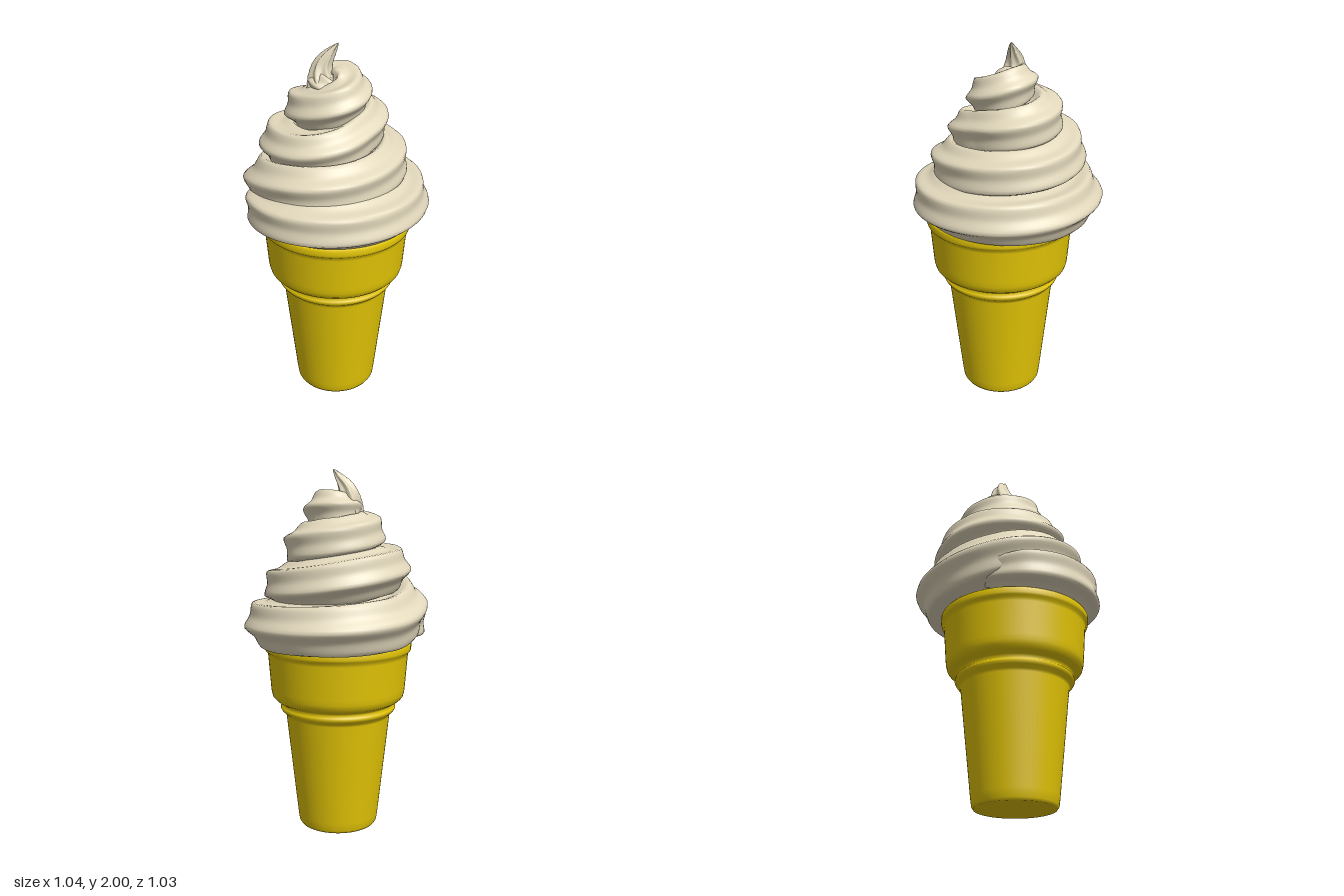
import * as THREE from 'three';

const CREAM = new THREE.MeshStandardMaterial({ color: 0xe2d8bc, side: THREE.DoubleSide });
const WAFER = new THREE.MeshStandardMaterial({ color: 0xe4c605 });
const LOBES = 6, SIDES = 60, FLOOR = 1.055;

// Swirl keys, one per quarter turn: [outer radius, centre height, rope radius]
const KEYS = [
  [0.45, 1.16, 0.12], [0.52, 1.175, 0.13], [0.51, 1.175, 0.13], [0.52, 1.185, 0.135],
  [0.51, 1.205, 0.15], [0.45, 1.325, 0.13], [0.385, 1.36, 0.125], [0.425, 1.395, 0.125],
  [0.415, 1.465, 0.125], [0.36, 1.495, 0.115], [0.26, 1.555, 0.115], [0.315, 1.605, 0.12],
  [0.285, 1.65, 0.115], [0.22, 1.69, 0.11], [0.20, 1.74, 0.11], [0.175, 1.79, 0.105],
  [0.155, 1.79, 0.08], [0.08, 1.76, 0.055], [0.04, 1.72, 0.02],
];

// Skins a star section along frames { centre, out, up, size, twist, depth }
function starSweep(steps, frameAt) {
  const pos = [], index = [];
  for (let s = 0; s <= steps; s++) {
    const { centre, out, up, size, twist, depth } = frameAt(s / steps);
    for (let j = 0; j < SIDES; j++) {
      const a = j / SIDES * Math.PI * 2;
      const groove = Math.pow(Math.abs(Math.sin(LOBES / 2 * (a - twist))), 1.2);
      const r = size * (1.05 - depth * groove);
      const p = centre.clone().addScaledVector(out, r * Math.cos(a)).addScaledVector(up, r * Math.sin(a));
      pos.push(p.x, Math.max(p.y, FLOOR), p.z);
      if (s < steps) {
        const n = (j + 1) % SIDES, b = s * SIDES;
        index.push(b + j, b + n, b + SIDES + j, b + n, b + SIDES + n, b + SIDES + j);
      }
    }
  }
  const geo = new THREE.BufferGeometry();
  geo.setAttribute('position', new THREE.Float32BufferAttribute(pos, 3));
  geo.setIndex(index);
  geo.computeVertexNormals();
  return geo;
}

// Rope of cream wound upwards, its ridges slowly turning
function creamSwirl() {
  const profile = new THREE.CatmullRomCurve3(KEYS.map(([o, y, r]) => new THREE.Vector3(o - r, y, r)));
  const last = KEYS.length - 1, start = 0.15;
  const sample = (i) => {
    const k = profile.getPoint(THREE.MathUtils.clamp(i / last, 0, 1));
    const angle = Math.PI - (i - 1) * Math.PI / 2;
    const radial = new THREE.Vector3(Math.cos(angle), 0, Math.sin(angle));
    return { centre: radial.clone().multiplyScalar(k.x).setY(k.y), radial, size: k.z };
  };
  return starSweep(400, (t) => {
    const i = start + (last - start) * t;
    const { centre, radial, size } = sample(i);
    const tangent = sample(i + 0.02).centre.sub(sample(i - 0.02).centre).normalize();
    const out = radial.addScaledVector(tangent, -radial.dot(tangent)).normalize();
    const up = new THREE.Vector3().crossVectors(tangent, out).normalize();
    if (up.y < 0) up.negate();
    // The rope begins as a rounded point
    const blunt = Math.sqrt(Math.min(1, (i - start) / 0.5));
    return { centre, out, up, size: size * blunt, twist: 0.2 * i - 0.7, depth: 0.21 };
  });
}

// Curled, pointed peak rising from the end of the rope
function creamPeak() {
  const path = new THREE.CatmullRomCurve3([
    [0.01, 1.64, -0.02], [-0.015, 1.76, -0.06], [-0.008, 1.88, -0.068], [0.035, 2.0, 0],
  ].map((p) => new THREE.Vector3(...p)));
  return starSweep(40, (t) => {
    const tangent = path.getTangent(t);
    const up = new THREE.Vector3(1, 0, 0).cross(tangent).normalize();
    const out = new THREE.Vector3().crossVectors(tangent, up);
    return { centre: path.getPoint(t), out, up, size: 0.12 * Math.pow(1 - t, 0.75), twist: 1.6 * t, depth: 0.28 };
  });
}

// Cup-shaped wafer: tapered foot, ring, wider cup and rim
function waferCup() {
  const points = [
    [0, 0], [0.214, 0], [0.224, 0.015], [0.23, 0.06], [0.293, 0.64], [0.299, 0.655],
    [0.318, 0.672], [0.325, 0.685], [0.323, 0.697], [0.309, 0.709], [0.324, 0.722],
    [0.352, 0.738], [0.368, 0.755], [0.375, 0.78], [0.378, 0.81], [0.392, 0.99], [0.396, 1.008],
    [0.407, 1.018], [0.41, 1.03], [0.41, 1.055], [0.404, 1.063], [0.39, 1.065], [0, 1.065],
  ].map(([x, y]) => new THREE.Vector2(x, y));
  return new THREE.LatheGeometry(points, 72);
}

export function createModel() {
  const model = new THREE.Group();
  model.name = 'softServeCone';
  const add = (name, geometry, material, x, y, z) => {
    const mesh = new THREE.Mesh(geometry, material);
    mesh.name = name;
    mesh.position.set(x, y, z);
    model.add(mesh);
  };
  add('waferCup', waferCup(), WAFER, -0.02, 0, 0.025);
  add('creamSwirl', creamSwirl(), CREAM, 0, 0, 0);
  add('creamPeak', creamPeak(), CREAM, 0, 0, 0);
  // Solid heart that closes the middle of the swirl
  add('creamHeart', new THREE.CylinderGeometry(0.06, 0.3, 0.6, 32), CREAM, 0, FLOOR + 0.3, 0);
  return model;
}
